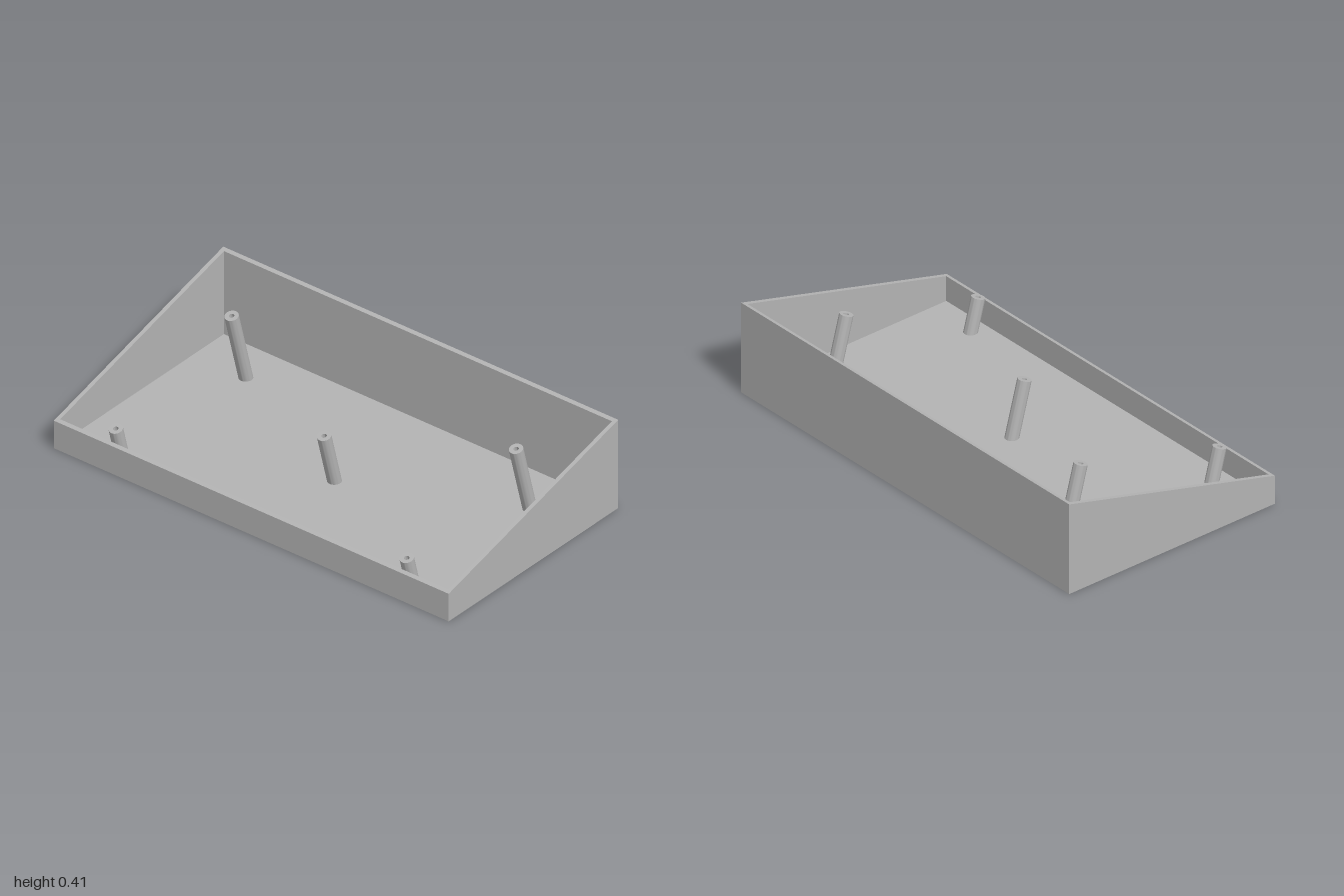
import * as THREE from 'three';
import { toCreasedNormals } from 'three/addons/utils/BufferGeometryUtils.js';

const HALF_X = 1, HALF_Z = 0.53, WALL = 0.018, FLOOR = 0.02, RECESS = 0.006;
const TILT = THREE.MathUtils.degToRad(15);
const rimHeight = (z) => 0.271 - z * Math.tan(TILT);

export function createModel() {
  const group = new THREE.Group();
  const grey = new THREE.MeshStandardMaterial({ color: 0xb3b3b3 });
  grey.name = 'grey plastic';

  const add = (name, geometry) => {
    const mesh = new THREE.Mesh(geometry, grey);
    mesh.name = name;
    group.add(mesh);
    return mesh;
  };

  // Wall with a sloping top between two z values, extruded along x
  const wall = (name, x0, x1, zBack, zFront) => {
    const shape = new THREE.Shape([
      new THREE.Vector2(-zFront, 0),
      new THREE.Vector2(-zBack, 0),
      new THREE.Vector2(-zBack, rimHeight(zBack)),
      new THREE.Vector2(-zFront, rimHeight(zFront)),
    ]);
    const geometry = new THREE.ExtrudeGeometry(shape, { depth: x1 - x0, bevelEnabled: false });
    geometry.rotateY(Math.PI / 2).translate(x0, 0, 0);
    add(name, geometry);
  };
  const ix = HALF_X - WALL, iz = HALF_Z - WALL;
  wall('leftWall', ix, HALF_X, -HALF_Z, HALF_Z);
  wall('rightWall', -HALF_X, -ix, -HALF_Z, HALF_Z);
  wall('frontWall', -ix, ix, iz, HALF_Z);
  wall('backWall', -ix, ix, -HALF_Z, -iz);

  // Floor, with a thin lower layer pierced by the round foot recesses
  const floor = add('floor', new THREE.BoxGeometry(2 * ix, FLOOR - RECESS, 2 * iz));
  floor.position.y = (FLOOR + RECESS) / 2;
  const base = new THREE.Shape([
    new THREE.Vector2(-ix, -iz), new THREE.Vector2(ix, -iz),
    new THREE.Vector2(ix, iz), new THREE.Vector2(-ix, iz),
  ]);
  for (const x of [-0.82, 0.82]) {
    for (const z of [-0.4, 0.4]) {
      base.holes.push(new THREE.Path().absarc(x, z, 0.05, 0, Math.PI * 2, true));
    }
  }
  const baseGeometry = new THREE.ExtrudeGeometry(base, { depth: RECESS, bevelEnabled: false, curveSegments: 32 });
  add('baseWithFootRecesses', baseGeometry.rotateX(-Math.PI / 2));

  // Hollow screw posts, square to the sloping rim and standing just above it
  const posts = [[-0.737, 0.467], [0.742, 0.474], [0.027, 0.108], [-0.716, -0.231], [0.753, -0.196]];
  for (const [x, z] of posts) {
    const topY = rimHeight(z) + 0.021;
    const length = (topY - FLOOR / 2) / Math.cos(TILT);
    const profile = [
      [0.029, 0], [0.029, length], [0.011, length], [0.011, length - 0.1], [0, length - 0.1],
    ].map(([r, y]) => new THREE.Vector2(r, y - length));
    const post = add('screwPost', toCreasedNormals(new THREE.LatheGeometry(profile, 32), 0.6));
    post.rotation.x = TILT;
    post.position.set(x, topY, z);
  }
  return group;
}
